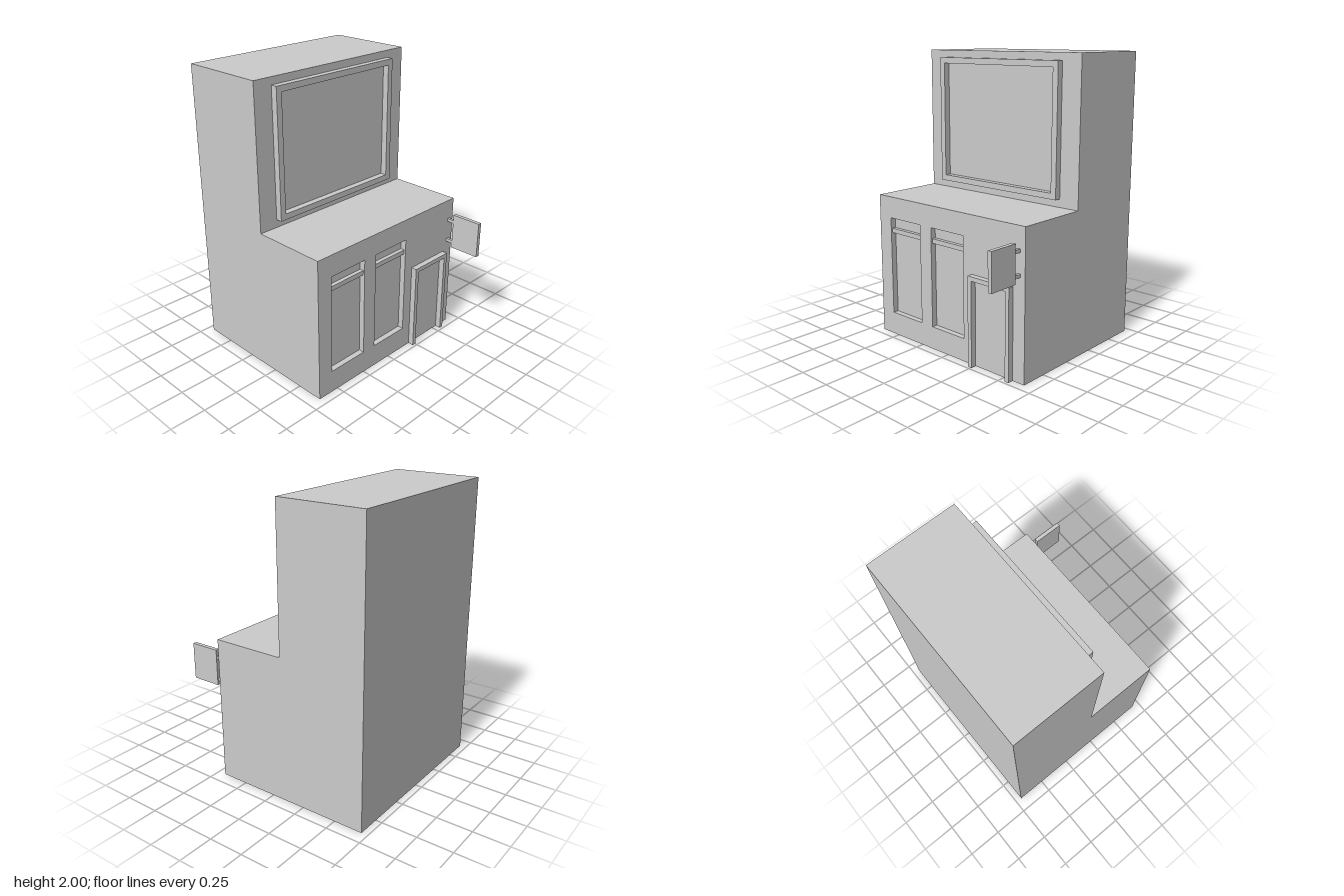
import * as THREE from 'three';

const mat = new THREE.MeshStandardMaterial({ color: 0xcccccc, side: THREE.DoubleSide });
const X = 0.663, BACK = -0.705, MID = -0.082, FRONT = 0.442, LEDGE = 1.01, TOP = 2;

function add(parent, name, geometry) {
  const mesh = new THREE.Mesh(geometry, mat);
  mesh.name = name;
  parent.add(mesh);
  return mesh;
}

// Box given by its limits on each axis
function box(parent, name, [x0, x1], [y0, y1], [z0, z1]) {
  const g = new THREE.BoxGeometry(x1 - x0, y1 - y0, z1 - z0);
  return add(parent, name, g.translate((x0 + x1) / 2, (y0 + y1) / 2, (z0 + z1) / 2));
}

function outline(points, Type = THREE.Shape) {
  return new Type(points.map(([x, y]) => new THREE.Vector2(x, y)));
}

const rect = (x0, x1, y0, y1) => [[x0, y0], [x1, y0], [x1, y1], [x0, y1]];

// Upright sheet facing +z, or -z when turned
function wall(parent, name, shape, z, turned = false) {
  const g = new THREE.ShapeGeometry(shape);
  if (turned) g.rotateY(Math.PI);
  return add(parent, name, g.translate(0, 0, z));
}

// Horizontal sheet facing up
function deck(parent, name, z0, z1, y) {
  const g = new THREE.PlaneGeometry(2 * X, z1 - z0).rotateX(-Math.PI / 2);
  return add(parent, name, g.translate(0, y, (z0 + z1) / 2));
}

function buildWindow(x0, x1) {
  const group = new THREE.Group();
  group.name = 'window';
  const y0 = 0.16, y1 = 0.86, depth = 0.04, zBack = FRONT - depth;
  const cx = (x0 + x1) / 2, cy = (y0 + y1) / 2;
  wall(group, 'windowPane', outline(rect(x0, x1, y0, y1)), zBack);
  // Reveals around the recess, each facing the opening
  for (const s of [-1, 1]) {
    const jamb = new THREE.PlaneGeometry(depth, y1 - y0).rotateY(-s * Math.PI / 2);
    add(group, 'windowJamb', jamb.translate(cx + s * (x1 - x0) / 2, cy, FRONT - depth / 2));
    const sill = new THREE.PlaneGeometry(x1 - x0, depth).rotateX(s * Math.PI / 2);
    add(group, s < 0 ? 'windowSill' : 'windowHead',
      sill.translate(cx, cy + s * (y1 - y0) / 2, FRONT - depth / 2));
  }
  box(group, 'windowBar', [x0, x1], [0.75, 0.782], [zBack, FRONT - 0.012]);
  return group;
}

export function createModel() {
  const model = new THREE.Group();
  model.name = 'shopBuilding';

  // Open-bottomed stepped shell
  for (const s of [-1, 1]) {
    const profile = [[BACK, 0], [FRONT, 0], [FRONT, LEDGE], [MID, LEDGE], [MID, TOP], [BACK, TOP]];
    const g = new THREE.ShapeGeometry(outline(profile.map(([z, y]) => [-s * z, y])));
    add(model, s > 0 ? 'leftWall' : 'rightWall', g.rotateY(s * Math.PI / 2).translate(s * X, 0, 0));
  }
  wall(model, 'backWall', outline(rect(-X, X, 0, TOP)), BACK, true);
  wall(model, 'upperFrontWall', outline(rect(-X, X, LEDGE, TOP)), MID);
  deck(model, 'roof', BACK, MID, TOP);
  deck(model, 'ledge', MID, FRONT, LEDGE);

  // Lower front wall with recessed windows
  const front = outline(rect(-X, X, 0, LEDGE));
  for (const [x0, x1] of [[-0.55, -0.253], [-0.147, 0.15]]) {
    front.holes.push(outline(rect(x0, x1, 0.16, 0.86), THREE.Path));
    model.add(buildWindow(x0, x1));
  }
  wall(model, 'lowerFrontWall', front, FRONT);

  // Billboard frame
  const frame = outline(rect(-0.527, 0.517, 1.065, 1.95));
  frame.holes.push(outline(rect(-0.486, 0.476, 1.106, 1.909), THREE.Path));
  add(model, 'billboardFrame', new THREE.ExtrudeGeometry(frame, { depth: 0.045, bevelEnabled: false })
    .translate(0, 0, MID));

  // Door surround
  const surround = outline([[0.225, 0], [0.255, 0], [0.255, 0.59], [0.54, 0.59], [0.54, 0],
    [0.57, 0], [0.57, 0.62], [0.225, 0.62]]);
  add(model, 'doorFrame', new THREE.ExtrudeGeometry(surround, { depth: 0.04, bevelEnabled: false })
    .translate(0, 0, FRONT));

  // Hanging sign on two brackets
  const sign = new THREE.Group();
  sign.name = 'hangingSign';
  box(sign, 'signBoard', [0.604, 0.632], [0.658, 0.912], [0.494, 0.707]);
  for (const y of [0.7, 0.857]) {
    box(sign, 'signBracket', [0.607, 0.627], [y - 0.011, y + 0.011], [FRONT, 0.494]);
  }
  model.add(sign);

  return model;
}
